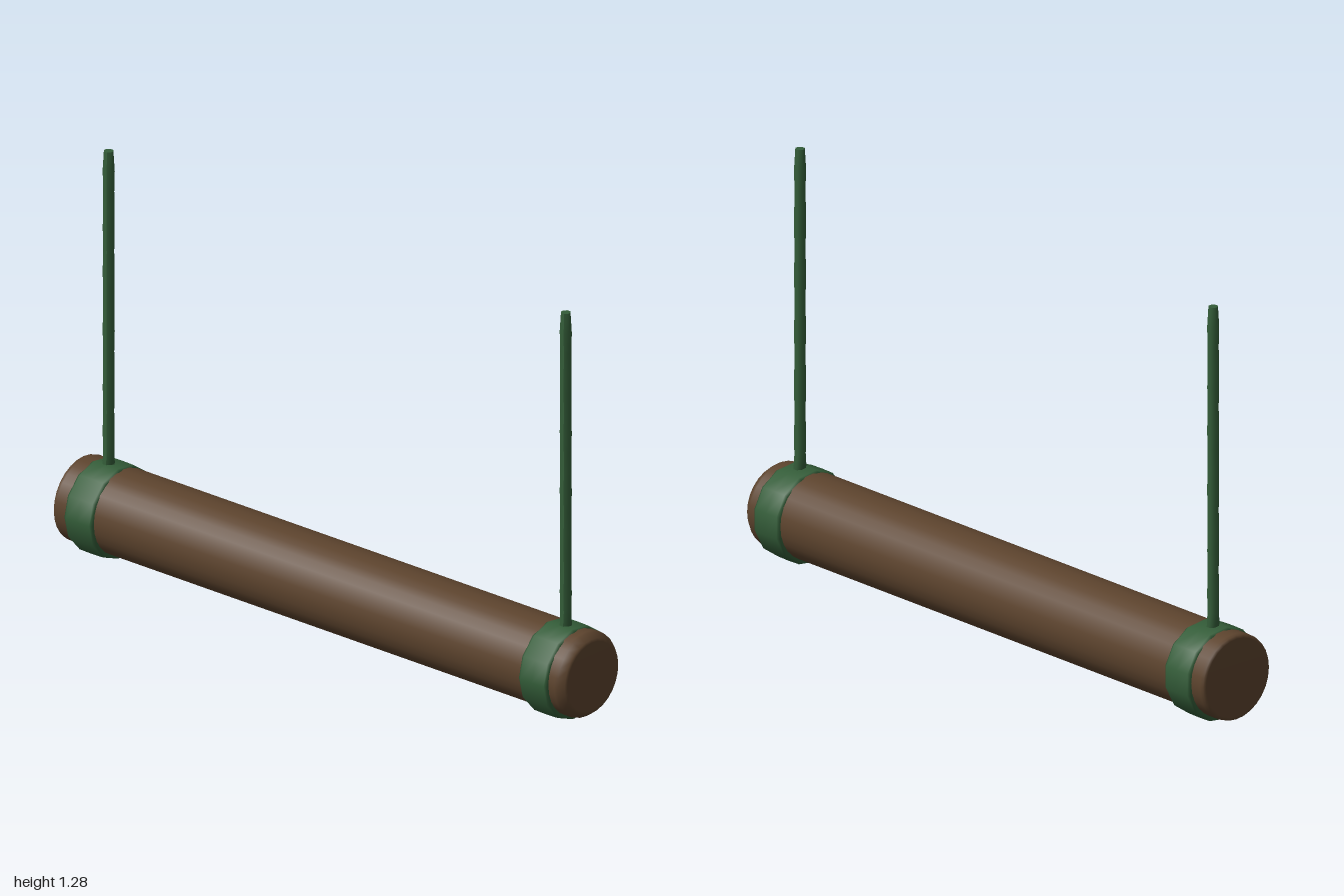
import * as THREE from 'three';

const bark = new THREE.MeshStandardMaterial({ color: 0x5c432d });
const green = new THREE.MeshStandardMaterial({ color: 0x335c38 });

// Solid of revolution along x from [radius, x] pairs
function turned(name, profile, sides, material) {
  const geo = new THREE.LatheGeometry(profile.map(([r, x]) => new THREE.Vector2(r, x)), sides);
  geo.rotateZ(-Math.PI / 2);
  const mesh = new THREE.Mesh(geo, material);
  mesh.name = name;
  return mesh;
}

// Hanging rope: flared foot, slightly uneven sides, softened tip
function makeRope() {
  const bottom = 0.27, top = 1.29, rows = 16;
  const geo = new THREE.CylinderGeometry(0.018, 0.018, top - bottom, 8, rows);
  geo.rotateY(Math.PI / 8);
  geo.translate(0, (top + bottom) / 2, 0);
  const p = geo.attributes.position;
  for (let i = 0; i < p.count; i++) {
    const y = p.getY(i);
    const wobble = 1 + 0.05 * Math.sin(y * 37);
    const flare = y < 0.3 ? 1.3 : 1;
    const tip = y > top - 0.01 ? 0.85 : 1;
    p.setX(i, p.getX(i) * wobble * tip);
    p.setZ(i, p.getZ(i) * wobble * flare * tip);
  }
  geo.computeVertexNormals();
  const rope = new THREE.Mesh(geo, green);
  rope.name = 'rope';
  return rope;
}

export function createModel() {
  const model = new THREE.Group();
  model.name = 'hangingLog';

  // Log with a slim edge on one end and a wider bevel on the other
  const log = turned('log', [
    [0, -1], [0.122, -1], [0.131, -0.996], [0.133, -0.985],
    [0.133, 0.97], [0.131, 0.98], [0.118, 0.998], [0.108, 1], [0, 1],
  ], 28, bark);
  log.position.y = 0.155;
  model.add(log);

  // A wrapped band and a rope near each end
  for (const side of [-1, 1]) {
    const hanger = new THREE.Group();
    hanger.name = side > 0 ? 'leftHanger' : 'rightHanger';
    const band = turned('band', [
      [0.12, -0.055], [0.139, -0.055], [0.144, -0.046],
      [0.145, 0], [0.144, 0.046], [0.139, 0.055], [0.12, 0.055],
    ], 13, green);
    band.position.set(-0.005 * side, 0.15, 0);
    hanger.add(band, makeRope());
    hanger.position.x = 0.897 * side;
    model.add(hanger);
  }
  return model;
}
